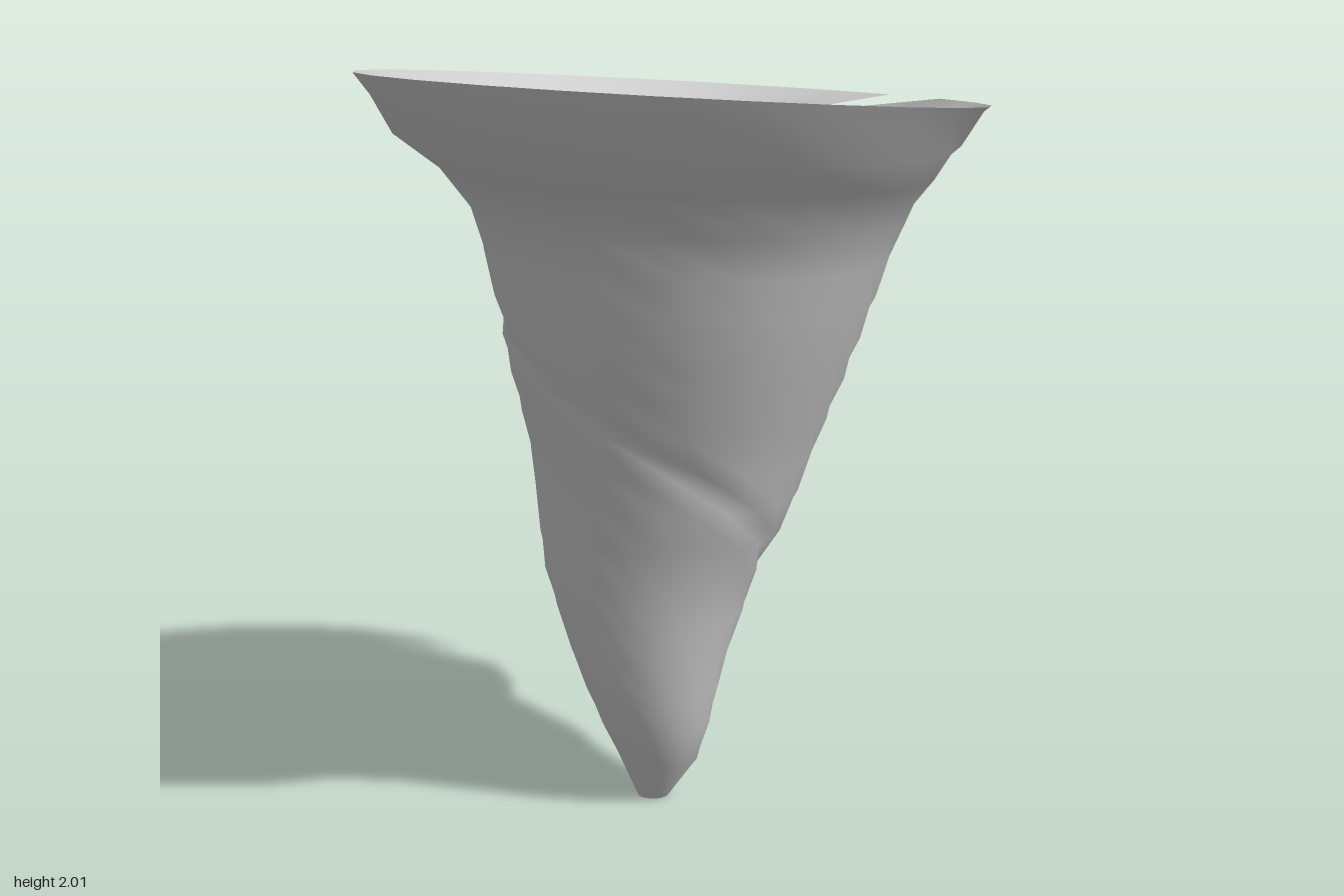
import * as THREE from 'three';

// Funnel axis and radius by height: [y, centreX, centreZ, radius]
const PROFILE = [
  [0, -0.06, 0, 0.042], [0.13, -0.04, -0.005, 0.118], [0.25, -0.05, 0.012, 0.159],
  [0.4, -0.065, 0.01, 0.207], [0.5, -0.07, -0.005, 0.243], [0.65, -0.075, -0.02, 0.29],
  [0.8, -0.048, -0.04, 0.342], [1.0, -0.02, -0.042, 0.386], [1.2, 0, -0.035, 0.45],
  [1.4, 0.02, -0.028, 0.506], [1.6, 0.032, -0.033, 0.562], [1.7, 0.035, -0.037, 0.615],
  [1.82, 0.015, 0.003, 0.738], [1.95, 0, 0, 0.832],
];

function sampleProfile(y) {
  let i = 0;
  while (i < PROFILE.length - 2 && PROFILE[i + 1][0] < y) i++;
  const a = PROFILE[i], b = PROFILE[i + 1];
  const t = (y - a[0]) / (b[0] - a[0]);
  return a.map((v, c) => THREE.MathUtils.lerp(v, b[c], t));
}

export function createModel() {
  const rings = 19, sides = 24;
  const twist = THREE.MathUtils.degToRad(27);
  const seamAngle = THREE.MathUtils.degToRad(279);
  const positions = [], indices = [];

  // Rings, each turned against the one below; the rim ring leans back
  for (let i = 0; i < rings; i++) {
    const isRim = i === rings - 1;
    const height = i === rings - 2 ? 1.825 : (1.95 * i) / (rings - 1);
    const [y, cx, cz, r] = sampleProfile(height);
    const tiltX = -0.03 * i / (rings - 1);
    const tiltZ = isRim ? 0.06 : 0;
    for (let j = 0; j < sides; j++) {
      const angle = seamAngle + twist * (i - rings + 2) + (j / sides) * Math.PI * 2;
      const dx = r * Math.cos(angle), dz = r * Math.sin(angle);
      positions.push(cx + dx, y + dx * tiltX + dz * tiltZ, cz + dz);
    }
  }

  // One continuous strip: each ring's end runs into the start of the next,
  // leaving the winding groove along the seam and a notch at the rim
  for (let k = 0; k < (rings - 1) * sides - 1; k++) {
    indices.push(k, k + sides, k + 1, k + 1, k + sides, k + sides + 1);
  }

  const geometry = new THREE.BufferGeometry();
  geometry.setAttribute('position', new THREE.Float32BufferAttribute(positions, 3));
  geometry.setIndex(indices);
  geometry.computeVertexNormals();

  const material = new THREE.MeshStandardMaterial({ color: 0xcccccc, side: THREE.DoubleSide });
  const funnel = new THREE.Mesh(geometry, material);
  funnel.name = 'twistedFunnel';

  const group = new THREE.Group();
  group.name = 'whirlwind';
  group.add(funnel);
  return group;
}
